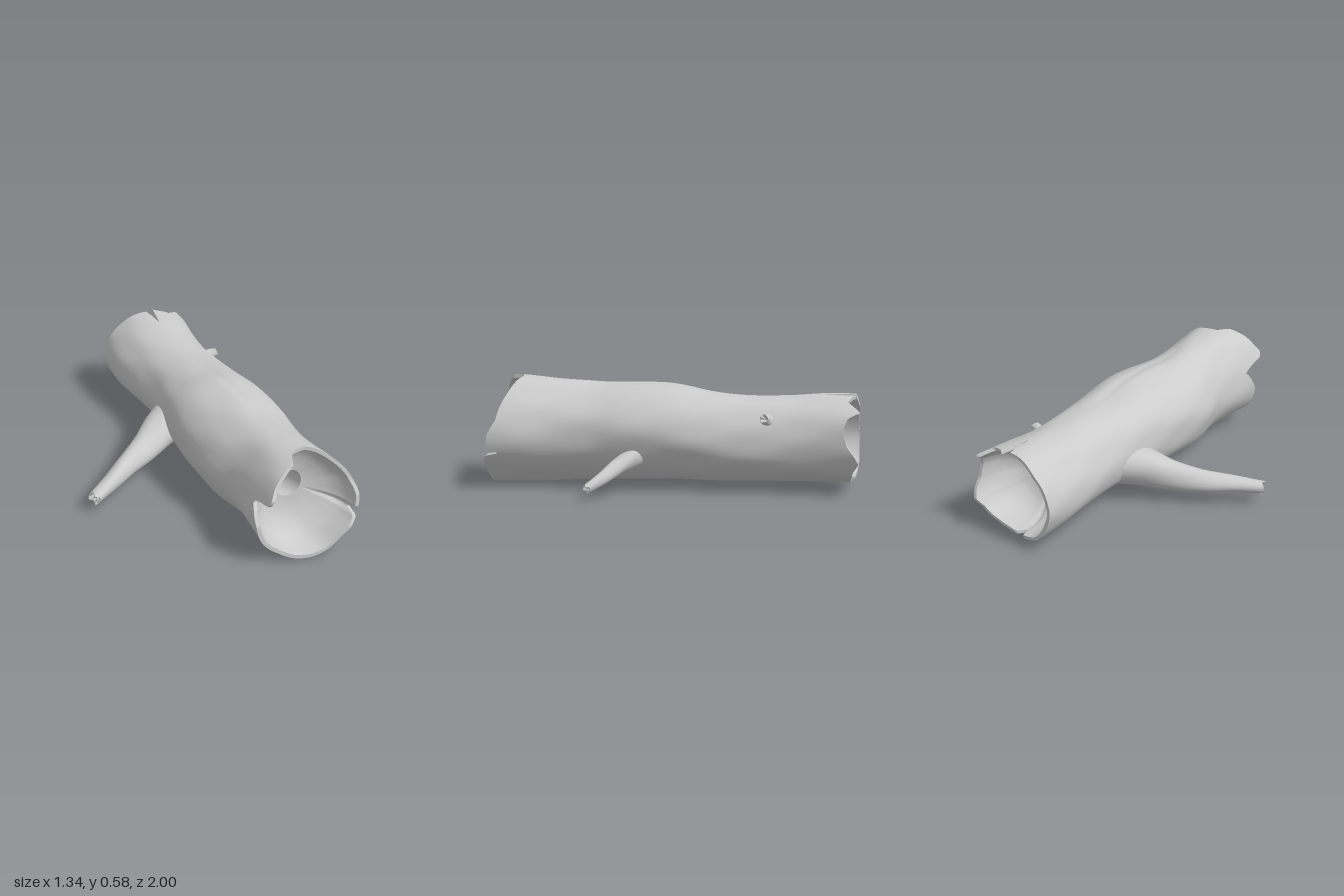
import * as THREE from 'three';

const SEG = 144;
const material = new THREE.MeshStandardMaterial({ color: 0xcccccc });

// Trunk sections every 0.2 along z, from -1 to 1: centre x, centre y, radius x, radius y
const SECTIONS = [
  [0.06, 0.28, 0.26, 0.23], [0.065, 0.28, 0.255, 0.23], [0.09, 0.275, 0.24, 0.225],
  [0.12, 0.275, 0.235, 0.225], [0.135, 0.287, 0.255, 0.235], [0.145, 0.305, 0.275, 0.253],
  [0.16, 0.3, 0.28, 0.26], [0.17, 0.29, 0.27, 0.265], [0.21, 0.293, 0.25, 0.276],
  [0.237, 0.3, 0.272, 0.29], [0.25, 0.303, 0.292, 0.3],
];
// Broken rims: angle in degrees (0 = +x, 90 = up), z
const FRONT_RIM = [
  [0, 0.91], [15, 0.87], [30, 0.86], [60, 0.83], [85, 0.8], [102, 0.82], [110, 0.9], [125, 0.94],
  [140, 0.97], [150, 1], [157, 0.99], [161, 0.91], [167, 0.84], [174, 0.87], [190, 0.92], [230, 0.93],
  [270, 0.95], [325, 0.95], [337, 0.93], [341, 0.84], [345, 0.92], [360, 0.91],
];
const BACK_RIM = [
  [0, -0.94], [20, -0.92], [33, -0.94], [42, -1], [50, -0.97], [60, -0.93], [75, -0.95], [81, -0.97],
  [84, -0.76], [89, -0.95], [105, -0.95], [135, -0.96], [180, -0.95], [225, -0.96], [255, -0.95],
  [261, -0.89], [268, -0.94], [300, -0.95], [322, -0.97], [335, -1], [346, -0.98], [360, -0.94],
];

function rimAt(rim, angle) {
  const deg = THREE.MathUtils.radToDeg(angle);
  const k = Math.max(1, rim.findIndex((p) => p[0] >= deg));
  const [a, b] = [rim[k - 1], rim[k]];
  return THREE.MathUtils.mapLinear(deg, a[0], b[0], a[1], b[1]);
}

// Smooth blend of neighbouring sections
function sectionAt(z) {
  const u = THREE.MathUtils.clamp((z + 1) * 5, 0, 9.999);
  const k = Math.floor(u), t = u - k;
  const at = (i) => SECTIONS[THREE.MathUtils.clamp(i, 0, 10)];
  return [0, 1, 2, 3].map((c) => {
    const [p0, p1, p2, p3] = [at(k - 1)[c], at(k)[c], at(k + 1)[c], at(k + 2)[c]];
    return p1 + 0.5 * t * (p2 - p0 + t * (2 * p0 - 5 * p1 + 4 * p2 - p3 + t * (3 * (p1 - p2) + p3 - p0)));
  });
}

// Corners, flats, gentle bark lumps and a long groove on top
function lumps(a, z) {
  const { smoothstep } = THREE.MathUtils;
  const side = (angle, power) => Math.max(0, Math.cos(a - angle)) ** power;
  const lowCorner = 0.055 * side(3.9, 4) * smoothstep(0.5 - z, 0, 0.4);
  const backCorner = 0.09 * side(0.74, 8) * smoothstep(-z, 0.6, 1);
  const frontFlats = (0.09 * side(0.9, 8) + 0.07 * side(-0.85, 8)) * smoothstep(z, 0.1, 0.8);
  const shoulder = 0.04 * side(2.3, 4) * Math.max(0, 1 - Math.abs(z - 0.3) * 2.5);
  const groove = 0.03 * side(1.5 - 0.15 * z, 200) * Math.max(0, 1 - Math.abs(z - 0.1) * 2);
  return 1 + lowCorner + backCorner - frontFlats - shoulder - groove + 0.012 * Math.sin(3 * a + 4 * z)
    + 0.01 * Math.sin(5 * a - 5 * z + 1) + 0.008 * Math.sin(9 * a + 3 * z) * Math.sin(11 * z);
}

function trunkPoint(a, z, scale = 1) {
  const [cx, cy, rx, ry] = sectionAt(z);
  const f = lumps(a, z) * scale;
  return new THREE.Vector3(cx + rx * f * Math.cos(a), Math.max(0, cy + ry * f * Math.sin(a)), z);
}

// Closed rings joined row by row into a skin
function skin(name, rows, seg, pointAt) {
  const positions = [], index = [];
  for (let r = 0; r < rows; r++) {
    for (let i = 0; i < seg; i++) {
      positions.push(...pointAt(r, (i / seg) * Math.PI * 2).toArray());
      if (r === rows - 1) continue;
      const a = r * seg + i, b = r * seg + ((i + 1) % seg);
      index.push(a, b, a + seg, b, b + seg, a + seg);
    }
  }
  const geometry = new THREE.BufferGeometry();
  geometry.setAttribute('position', new THREE.Float32BufferAttribute(positions, 3));
  geometry.setIndex(index);
  geometry.computeVertexNormals();
  const mesh = new THREE.Mesh(geometry, material);
  mesh.name = name;
  return mesh;
}

// Tapered limb with a broken, hollowed tip
function limb(name, points, radii, jag) {
  const group = new THREE.Group();
  group.name = name;
  const curve = new THREE.CatmullRomCurve3(points.map((p) => new THREE.Vector3(...p)));
  const n = 20, frames = curve.computeFrenetFrames(n);
  const ring = (k, a, scale, pull = 0) => {
    const u = (k / n) * (radii.length - 1), j = Math.min(Math.floor(u), radii.length - 2);
    const r = THREE.MathUtils.lerp(radii[j], radii[j + 1], u - j) * scale * (1 + 0.05 * Math.sin(3 * a + k * 0.4));
    const end = k === n ? jag * (Math.sin(3 * a) + 0.6 * Math.sin(5 * a + 1)) : 0;
    return curve.getPointAt(k / n)
      .addScaledVector(frames.normals[k], r * Math.cos(a))
      .addScaledVector(frames.binormals[k], r * Math.sin(a))
      .addScaledVector(frames.tangents[k], end - pull);
  };
  const tip = [[1, 0], [0.75, 0], [0.6, jag * 3], [0, jag * 3.5]];
  group.add(
    skin(name + 'Bark', n + 1, 24, (r, a) => ring(r, a, 1)),
    skin(name + 'Tip', tip.length, 24, (r, a) => ring(n, a, ...tip[r])),
  );
  return group;
}

export function createModel() {
  const log = new THREE.Group();
  log.name = 'hollowLog';

  // Outer bark between the two broken rims
  const ROWS = 70;
  log.add(skin('bark', ROWS + 1, SEG, (r, a) =>
    trunkPoint(a, THREE.MathUtils.lerp(rimAt(BACK_RIM, a), rimAt(FRONT_RIM, a), r / ROWS))));

  // Hollow ends: thin lip, then a bowl closing in on the central hole
  const LIP = 0.93;
  const bowl = [[LIP, 0], [0.9, 0.33], [0.84, 0.58], [0.72, 0.8], [0.55, 0.92], [0.4, 0.97], [0.26, 1]];
  const ends = [
    { name: 'front', rim: FRONT_RIM, z: 0.74, hole: new THREE.Vector3(0.21, 0.34, 0.74) },
    { name: 'back', rim: BACK_RIM, z: -0.7, hole: new THREE.Vector3(0.11, 0.31, -0.7) },
  ];
  const holePoint = (c, a) => c.clone().add(new THREE.Vector3(0.072 * Math.cos(a), 0.076 * Math.sin(a), 0));
  for (const { name, rim, z, hole } of ends) {
    const back = name === 'back';
    log.add(skin(name + 'Rim', 2, SEG, (r, a) =>
      trunkPoint(a, rimAt(rim, a), (back ? r === 1 : r === 0) ? 1 : LIP)));
    log.add(skin(name + 'Hollow', bowl.length, SEG, (r, a) => {
      const k = back ? bowl.length - 1 - r : r;
      const [scale, depth] = bowl[k];
      const wall = trunkPoint(a, THREE.MathUtils.lerp(rimAt(rim, a), z, depth), scale);
      return wall.lerp(holePoint(hole, a), (k / (bowl.length - 1)) ** 3);
    }));
  }

  // Narrow, slightly bent tunnel joining both hollows
  const bend = new THREE.Vector3(-0.08, -0.04, 0);
  log.add(skin('tunnel', 17, SEG, (r, a) => {
    const centre = ends[0].hole.clone().lerp(ends[1].hole, r / 16);
    return holePoint(centre.addScaledVector(bend, Math.sin((r / 16) * Math.PI)), a);
  }));

  // Side branches and a small knot
  log.add(limb('rightBranch',
    [[0.02, 0.215, -0.27], [-0.13, 0.195, -0.175], [-0.26, 0.155, -0.09], [-0.4, 0.13, 0.0], [-0.52, 0.115, 0.1], [-0.645, 0.1, 0.195]],
    [0.13, 0.106, 0.08, 0.06, 0.046, 0.035], 0.008));
  log.add(limb('leftBranch',
    [[0.37, 0.2, 0.145], [0.46, 0.155, 0.21], [0.55, 0.11, 0.268], [0.645, 0.065, 0.33]],
    [0.054, 0.043, 0.033, 0.024], 0.006));
  log.add(limb('knot', [[0.27, 0.385, -0.53], [0.305, 0.4, -0.525], [0.335, 0.41, -0.52]],
    [0.04, 0.03, 0.022], 0.004));
  return log;
}
